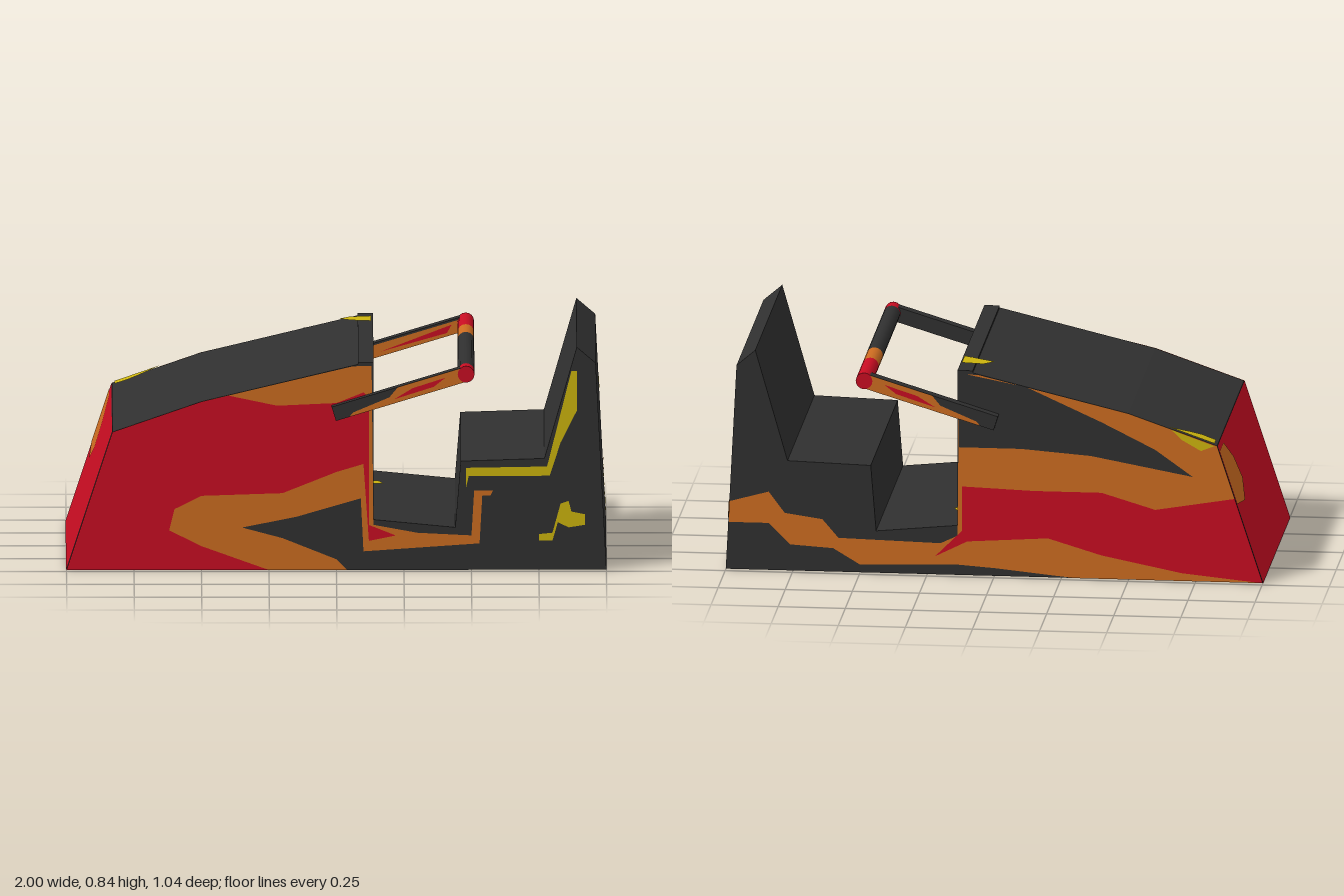
import * as THREE from 'three';

const flat = (name, color) => {
  const m = new THREE.MeshStandardMaterial({ color, side: THREE.DoubleSide });
  m.name = name;
  return m;
};

export function createModel() {
  const group = new THREE.Group();
  group.name = 'rideCar';
  const dark = flat('charcoal', 0x303030);
  const red = flat('red', 0xc80d22);
  const orange = flat('orange', 0xcc6c20);
  const yellow = flat('yellow', 0xccb40e);
  const HALF = 0.478;

  const add = (name, geo, mat) => {
    const m = new THREE.Mesh(geo, mat);
    m.name = name;
    group.add(m);
    return m;
  };
  const shape = (pts) => new THREE.Shape(pts.map((p) => new THREE.Vector2(...p)));

  // Flat painted shape, placed on a surface by a rule (u, v) -> [x, y, z]
  const paint = (name, mat, pts, place) => {
    const geo = new THREE.ShapeGeometry(shape(pts));
    const pos = geo.attributes.position;
    for (let i = 0; i < pos.count; i++) pos.setXYZ(i, ...place(pos.getX(i), pos.getY(i)));
    geo.computeVertexNormals();
    return add(name, geo, mat);
  };
  const leftSide = (layer) => (x, y) => [x, y, HALF + 0.002 * layer];
  const rightSide = (layer) => (x, y) => [x, y, -HALF - 0.002 * layer];
  const noseFront = (layer) => (z, y) => [-1 + y * 0.327 - 0.002 * layer, y, z];
  const rearFace = (z, y) => [1.002 - y * 0.051, y, z];

  // Car body: nose, floor, seat and backrest in one profile
  const body = new THREE.ExtrudeGeometry(shape([
    [-1, 0], [1, 0], [0.96, 0.78], [0.89, 0.84], [0.77, 0.42], [0.46, 0.41],
    [0.44, 0.16], [0.08, 0.195], [0.08, 0.775], [-0.5, 0.635], [-0.83, 0.52],
  ]), { depth: HALF * 2, bevelEnabled: false });
  body.translate(0, 0, -HALF);
  add('body', body, dark);

  // Raised rim around the recess behind the nose
  const rim = new THREE.ExtrudeGeometry(shape([
    [-HALF, 0.185], [-0.45, 0.185], [-0.45, 0.75], [0.45, 0.75],
    [0.45, 0.185], [HALF, 0.185], [HALF, 0.783], [-HALF, 0.783],
  ]), { depth: 0.057, bevelEnabled: false });
  rim.rotateY(Math.PI / 2).translate(0.08, 0, 0);
  add('noseRim', rim, dark);

  // Left side paint
  paint('leftOrange', orange, [
    [-1, 0], [-0.83, 0.52], [-0.5, 0.635], [0.06, 0.768], [0.13, 0.77], [0.137, 0.17],
    [0.3, 0.14], [0.5, 0.13], [0.51, 0.3], [0.58, 0.3], [0.57, 0.28], [0.54, 0.28],
    [0.53, 0.1], [0.1, 0.07], [0.09, 0.27], [-0.15, 0.2], [-0.35, 0.16],
    [-0.2, 0.12], [0, 0.04], [0.04, 0],
  ], leftSide(1));
  paint('leftRed', red, [
    [-1, 0], [-0.83, 0.52], [-0.5, 0.635], [-0.4, 0.658], [-0.22, 0.62], [0, 0.63],
    [0.1, 0.67], [0.12, 0.65], [0.12, 0.17], [0.22, 0.13], [0.12, 0.11], [0.1, 0.4],
    [0, 0.37], [-0.2, 0.29], [-0.5, 0.28], [-0.6, 0.23], [-0.62, 0.15],
    [-0.5, 0.09], [-0.25, 0],
  ], leftSide(2));
  paint('leftSeatStripe', yellow, [
    [0.48, 0.31], [0.48, 0.385], [0.78, 0.39], [0.87, 0.75], [0.89, 0.75],
    [0.89, 0.6], [0.83, 0.48], [0.79, 0.355], [0.49, 0.355],
  ], leftSide(1));
  paint('leftSplash', yellow, [
    [0.75, 0.11], [0.75, 0.135], [0.8, 0.14], [0.83, 0.25], [0.86, 0.26], [0.87, 0.22],
    [0.92, 0.21], [0.92, 0.17], [0.86, 0.16], [0.82, 0.18], [0.8, 0.11],
  ], leftSide(1));

  // Right side paint
  paint('rightOrange', orange, [
    [-1, 0], [-0.83, 0.52], [-0.5, 0.635], [0.06, 0.768], [0.13, 0.77], [0.137, 0.15],
    [0.2, 0.12], [0.58, 0.13], [0.64, 0.2], [0.78, 0.22], [0.84, 0.3], [0.985, 0.26],
    [0.988, 0.18], [0.84, 0.18], [0.76, 0.1], [0.6, 0.09], [0.5, 0.03], [0.14, 0.04],
    [0, 0.03], [-0.3, 0],
  ], rightSide(1));
  paint('rightRed', red, [
    [0.12, 0.34], [-0.15, 0.33], [-0.4, 0.33], [-0.6, 0.27], [-0.896, 0.32], [-1, 0],
    [-0.7, 0.03], [-0.4, 0.09], [-0.2, 0.15], [0.1, 0.13], [0.22, 0.07], [0.12, 0.17],
  ], rightSide(2));
  paint('rightDarkWedge', dark, [
    [0.13, 0.49], [-0.1, 0.49], [-0.36, 0.47], [-0.74, 0.4], [-0.6, 0.5],
    [-0.4, 0.6], [-0.12, 0.727], [0.13, 0.775],
  ], rightSide(2));
  paint('rightYellowCorner', yellow,
    [[-0.82, 0.52], [-0.66, 0.578], [-0.7, 0.54], [-0.77, 0.5]], rightSide(2));

  // Nose front
  paint('noseFront', red, [[-HALF, 0], [HALF, 0], [HALF, 0.52], [-HALF, 0.52]], noseFront(1));
  paint('noseFrontPatch', orange, [
    [-HALF, 0.5], [-0.35, 0.5], [-0.24, 0.42], [-0.2, 0.33], [-0.3, 0.27], [-HALF, 0.3],
  ], noseFront(2));

  // Splashes on the nose top
  paint('noseTopSplash', yellow,
    [[-0.82, -0.475], [-0.65, -0.475], [-0.73, -0.43], [-0.77, -0.415], [-0.82, -0.42]],
    (x, z) => [x, 0.811 + x * 0.348 + 0.003, z]);
  paint('rimTopSplash', yellow,
    [[0.01, -0.35], [0.05, -0.39], [0.13, -0.39], [0.13, -0.29], [0.06, -0.32]],
    (x, z) => [x, Math.max(0.787, 0.759 + x * 0.241), z]);

  // Streak across the recess and onto the floor
  paint('recessStreak', yellow,
    [[0.36, 0.43], [0.36, 0.47], [0, 0.35], [-0.3, 0.24], [-0.3, 0.2], [0, 0.3]],
    (z, y) => [0.083, y, z]);
  paint('floorSplash', yellow,
    [[0.1, -0.27], [0.16, -0.27], [0.175, -0.22], [0.1, -0.2]],
    (x, z) => [x, 0.206 - x * 0.097, z]);

  // Rear face splashes
  paint('rearUpperSplash', yellow, [
    [-0.2, 0.57], [-0.2, 0.6], [-0.24, 0.61], [-0.32, 0.58], [-0.38, 0.555],
    [-0.38, 0.53], [-0.34, 0.515], [-0.28, 0.545],
  ], rearFace);
  paint('rearLowerSplash', yellow, [
    [-0.26, 0.22], [-0.28, 0.255], [-0.31, 0.26], [-0.325, 0.23], [-0.34, 0.13],
    [-0.36, 0.115], [-0.42, 0.115], [-0.445, 0.09], [-0.43, 0.06], [-0.39, 0.055],
    [-0.31, 0.075], [-0.275, 0.11],
  ], rearFace);
  paint('rearOrangePatch', orange,
    [[-HALF, 0.19], [-HALF, 0.26], [-0.44, 0.26], [-0.412, 0.235], [-0.42, 0.205]], rearFace);

  // Underside splash
  paint('undersideSplash', yellow,
    [[0.43, -0.16], [0.5, -0.2], [0.55, -0.16], [0.54, -0.08], [0.47, -0.06]],
    (x, z) => [x, -0.002, z]);

  // Lap bar arms, painted on their outer and inner faces
  const start = new THREE.Vector2(-0.01, 0.595), end = new THREE.Vector2(0.48, 0.745);
  const span = end.clone().sub(start);
  const angle = span.angle(), length = span.length();
  for (const side of [1, -1]) {
    const zc = side > 0 ? 0.493 : -0.5;
    const arm = add(side > 0 ? 'leftArm' : 'rightArm', new THREE.BoxGeometry(length, 0.055, 0.044), dark);
    arm.position.set((start.x + end.x) / 2, (start.y + end.y) / 2, zc);
    arm.rotation.z = angle;
    const onArm = (z) => (t, w) => [
      start.x + span.x * t - Math.sin(angle) * w,
      start.y + span.y * t + Math.cos(angle) * w, z,
    ];
    const outer = zc + side * 0.023, inner = zc - side * 0.023;
    paint('armOrange', orange,
      [[0.1, -0.027], [1, -0.027], [1, 0.027], [0.5, 0.027], [0.42, 0], [0.14, -0.015]], onArm(outer));
    paint('armRed', red,
      [[0.45, -0.012], [0.75, -0.01], [0.85, 0.01], [0.6, 0.008]], onArm(outer + side * 0.001));
    if (side < 0) {
      paint('armInnerOrange', orange, [[0.1, -0.027], [1, -0.027], [1, 0.02], [0.3, 0.02]], onArm(inner));
      paint('armInnerRed', red, [[0.35, -0.01], [0.85, -0.015], [0.9, 0.01]], onArm(inner + 0.001));
    }
    const cap = add('barEndCap', new THREE.CircleGeometry(0.031, 16), red);
    cap.position.set(end.x, end.y, outer + side * 0.002);
    if (side < 0) cap.rotation.y = Math.PI;
  }

  // Crossbar in coloured lengths
  for (const [name, mat, z0, z1] of [
    ['crossbarRed', red, -0.523, -0.3],
    ['crossbarOrange', orange, -0.3, -0.15],
    ['crossbarDark', dark, -0.15, 0.46],
    ['crossbarEnd', red, 0.46, 0.516],
  ]) {
    const bar = add(name, new THREE.CylinderGeometry(0.031, 0.031, z1 - z0, 16), mat);
    bar.rotation.x = Math.PI / 2;
    bar.position.set(end.x, end.y, (z0 + z1) / 2);
  }
  return group;
}
